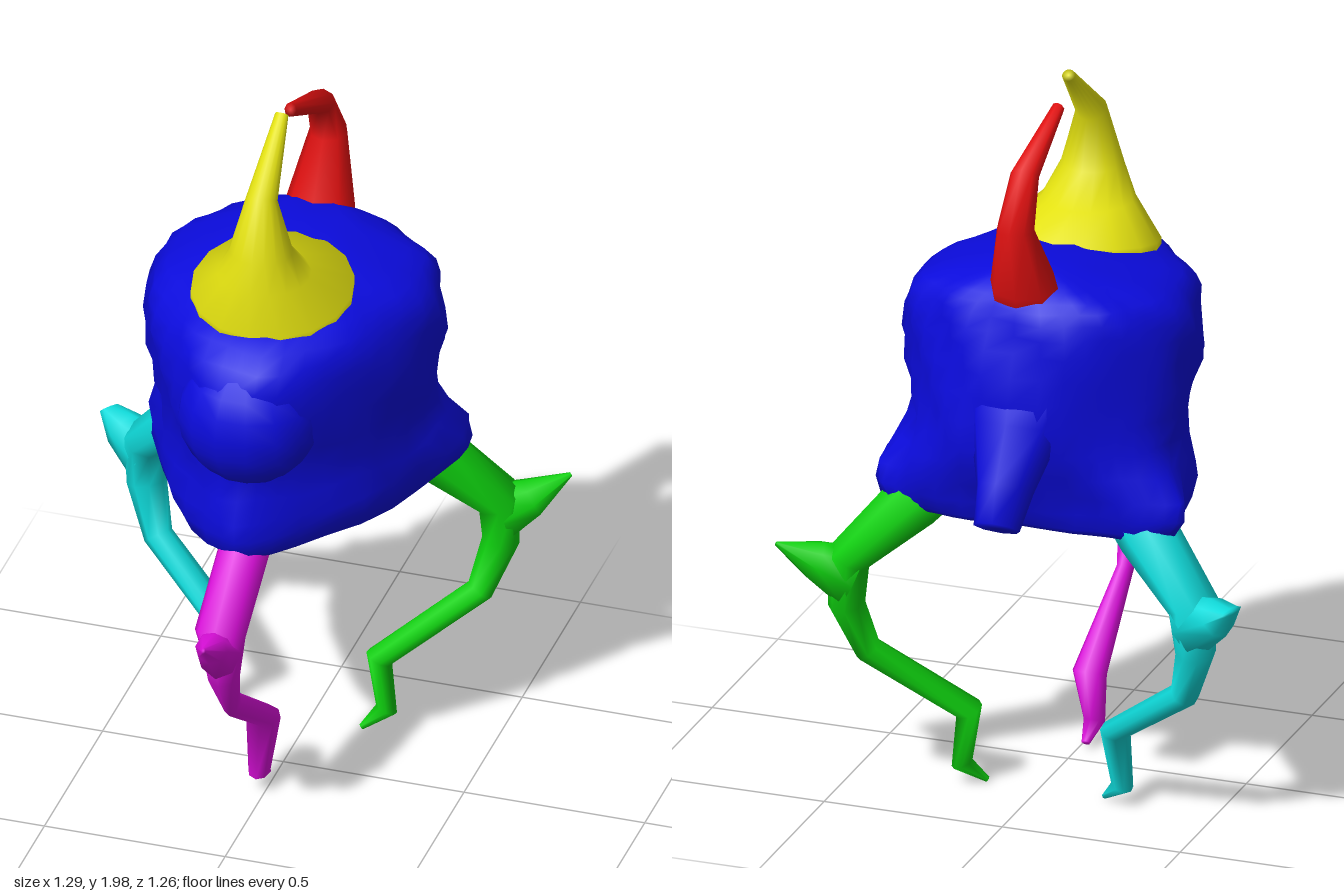
import * as THREE from 'three';

const CX = -0.02; // the creature's plane of symmetry
const V = (x, y, z) => new THREE.Vector3(x, y, z);
const paint = (name, color) => {
  const m = new THREE.MeshStandardMaterial({ color });
  m.name = name;
  return m;
};

// Closed skin over rings of equal length, each running anticlockwise around the path
function skin(name, rings, material) {
  const n = rings[0].length, last = rings.length - 1, pos = [], idx = [];
  const add = p => pos.push(p.x, p.y, p.z);
  rings.forEach(r => r.forEach(add));
  for (const r of [rings[0], rings[last]]) {
    add(r.reduce((s, p) => s.add(p), V(0, 0, 0)).divideScalar(n));
  }
  const c0 = n * (last + 1), c1 = c0 + 1;
  for (let j = 0; j < n; j++) {
    const k = (j + 1) % n;
    for (let i = 0; i < last; i++) {
      const a = i * n + j, b = i * n + k;
      idx.push(a, b, b + n, a, b + n, a + n);
    }
    idx.push(c0, k, j, c1, last * n + j, last * n + k);
  }
  const g = new THREE.BufferGeometry();
  g.setAttribute('position', new THREE.Float32BufferAttribute(pos, 3));
  g.setIndex(idx);
  g.computeVertexNormals();
  const mesh = new THREE.Mesh(g, material);
  mesh.name = name;
  return mesh;
}

// Limb through stations [x, y, z, half width along side, half depth]
function limb(name, stations, side, material) {
  const sides = 8, pts = stations.map(s => V(s[0], s[1], s[2]));
  const rings = stations.map((s, i) => {
    const t = V(0, 0, 0);
    if (i > 0) t.add(pts[i].clone().sub(pts[i - 1]).normalize());
    if (i < pts.length - 1) t.add(pts[i + 1].clone().sub(pts[i]).normalize());
    t.normalize();
    const u = side.clone().addScaledVector(t, -side.dot(t)).normalize();
    const w = t.clone().cross(u);
    return Array.from({ length: sides }, (_, j) => {
      const a = j / sides * Math.PI * 2;
      return pts[i].clone().addScaledVector(u, s[3] * Math.cos(a)).addScaledVector(w, s[4] * Math.sin(a));
    });
  });
  return skin(name, rings, material);
}

// Body levels: height, front z, widest z, back z, half width, front taper
const BODY = [
  [0.89, 0.2, -0.26, -0.34, 0.24, 1.3],
  [0.835, 0.34, -0.35, -0.41, 0.39, 1.35],
  [0.92, 0.36, -0.34, -0.44, 0.44, 1.3],
  [1.06, 0.32, -0.22, -0.49, 0.365, 1.1],
  [1.22, 0.35, -0.17, -0.49, 0.375, 1.1],
  [1.37, 0.34, -0.17, -0.47, 0.38, 1.1],
  [1.455, 0.25, -0.18, -0.45, 0.345, 1.05],
  [1.505, 0.08, -0.18, -0.42, 0.24, 1],
  [1.55, -0.13, -0.24, -0.35, 0.09, 1],
];

function bodyRings() {
  const around = 40, up = 18;
  const bend = (v, p) => Math.sign(v) * Math.abs(v) ** p;
  const angle = j => j / around * Math.PI * 2;
  const rows = BODY.map(([y, front, mid, back, w, taper]) => Array.from({ length: around }, (_, j) => {
    const s = Math.sin(angle(j)), c = Math.cos(angle(j));
    const p = c > 0 ? taper : 0.85;
    return V(CX + w * bend(s, p), y, mid + (c > 0 ? front - mid : mid - back) * bend(c, p));
  }));
  const columns = rows[0].map((_, j) => new THREE.CatmullRomCurve3(rows.map(r => r[j])));
  return Array.from({ length: up + 1 }, (_, i) => columns.map((column, j) => {
    const p = column.getPoint(i / up), a = angle(j);
    // uneven lumps around the hide
    const lump = 0.026 * Math.sin(7 * a + 9 * p.y) * Math.sin(14 * p.y + 3 * a) * Math.sin(Math.PI * i / up);
    p.x += Math.sin(a) * lump;
    p.z += Math.cos(a) * lump;
    return p;
  }));
}

// Level oval ring, tilted up or down towards its front
const oval = (y, z, rx, rz, tilt = 0) => Array.from({ length: 16 }, (_, j) => {
  const a = j / 16 * Math.PI * 2;
  return V(CX + rx * Math.sin(a), y + tilt * Math.cos(a), z + rz * Math.cos(a));
});

export function createModel() {
  const group = new THREE.Group();
  const blue = paint('blue hide', 0x0b0bdc), yellow = paint('yellow horn', 0xe2e010);
  const red = paint('red horn', 0xe01010), magenta = paint('magenta leg', 0xdc0fdc);
  const green = paint('green leg', 0x0fd40f), cyan = paint('cyan leg', 0x0fdcdc);
  const X = V(1, 0, 0);

  group.add(skin('body', bodyRings(), blue));

  // Broad snout and stubby tail
  const snout = new THREE.Mesh(new THREE.SphereGeometry(1, 14, 10), blue);
  snout.name = 'snout';
  snout.scale.set(0.19, 0.19, 0.16);
  snout.position.set(CX, 1.225, 0.24);
  group.add(snout);
  group.add(limb('tail', [
    [CX, 1.3, -0.4, 0.16, 0.08], [CX, 1.14, -0.45, 0.13, 0.085],
    [CX, 0.99, -0.53, 0.08, 0.085], [CX, 0.905, -0.595, 0.065, 0.045],
  ], X, blue));

  // Horns curling towards each other
  group.add(skin('frontHorn', [
    oval(1.44, 0.03, 0.218, 0.21, -0.042), oval(1.506, 0.03, 0.218, 0.21, -0.042),
    oval(1.585, 0.1, 0.125, 0.125), oval(1.67, 0.13, 0.085, 0.08),
    oval(1.825, 0.122, 0.042, 0.038, 0.02), oval(1.985, -0.05, 0.018, 0.012, 0.012),
  ], yellow));
  group.add(limb('backHorn', [
    [CX, 1.44, -0.37, 0.095, 0.065], [CX, 1.52, -0.385, 0.095, 0.075], [CX, 1.7, -0.452, 0.052, 0.053],
    [CX, 1.83, -0.382, 0.04, 0.034], [-0.03, 1.935, -0.155, 0.017, 0.019],
  ], X, red));

  // Front leg with a finned knee
  group.add(limb('frontLeg', [
    [CX, 0.9, 0.2, 0.07, 0.09], [CX, 0.83, 0.27, 0.07, 0.08], [CX, 0.69, 0.48, 0.07, 0.06],
    [CX, 0.55, 0.45, 0.045, 0.05], [CX, 0.41, 0.375, 0.022, 0.035], [CX, 0.22, 0.11, 0.048, 0.038],
    [CX, 0.07, 0.145, 0.03, 0.032], [CX, 0.03, 0.08, 0.012, 0.008],
  ], X, magenta));
  group.add(limb('frontKneeFin', [
    [CX, 0.64, 0.48, 0.06, 0.08], [CX, 0.685, 0.555, 0.045, 0.04], [CX, 0.72, 0.625, 0.006, 0.008],
  ], X, magenta));

  // Mirrored back legs with wide finned knees
  for (const [s, name, mat] of [[1, 'left', green], [-1, 'right', cyan]]) {
    const mirrored = rows => rows.map(([x, ...rest]) => [CX + s * x, ...rest]);
    const side = V(0.25 * s, 0, 1).normalize();
    group.add(limb(name + 'BackLeg', mirrored([
      [0.27, 0.91, -0.31, 0.08, 0.09], [0.335, 0.83, -0.34, 0.085, 0.08], [0.485, 0.68, -0.41, 0.08, 0.06],
      [0.49, 0.55, -0.41, 0.06, 0.05], [0.445, 0.41, -0.37, 0.042, 0.038], [0.205, 0.225, -0.25, 0.048, 0.037],
      [0.225, 0.07, -0.25, 0.03, 0.03], [0.165, 0.02, -0.22, 0.01, 0.008],
    ]), side, mat));
    const tip = s > 0 ? [0.655, 0.73, -0.5, 0.006, 0.006] : [0.615, 0.71, -0.475, 0.035, 0.008];
    group.add(limb(name + 'KneeFin', mirrored([
      [0.475, 0.63, -0.41, 0.075, 0.09], [0.565, 0.675, -0.445, 0.055, 0.055], tip,
    ]), side, mat));
  }
  return group;
}
